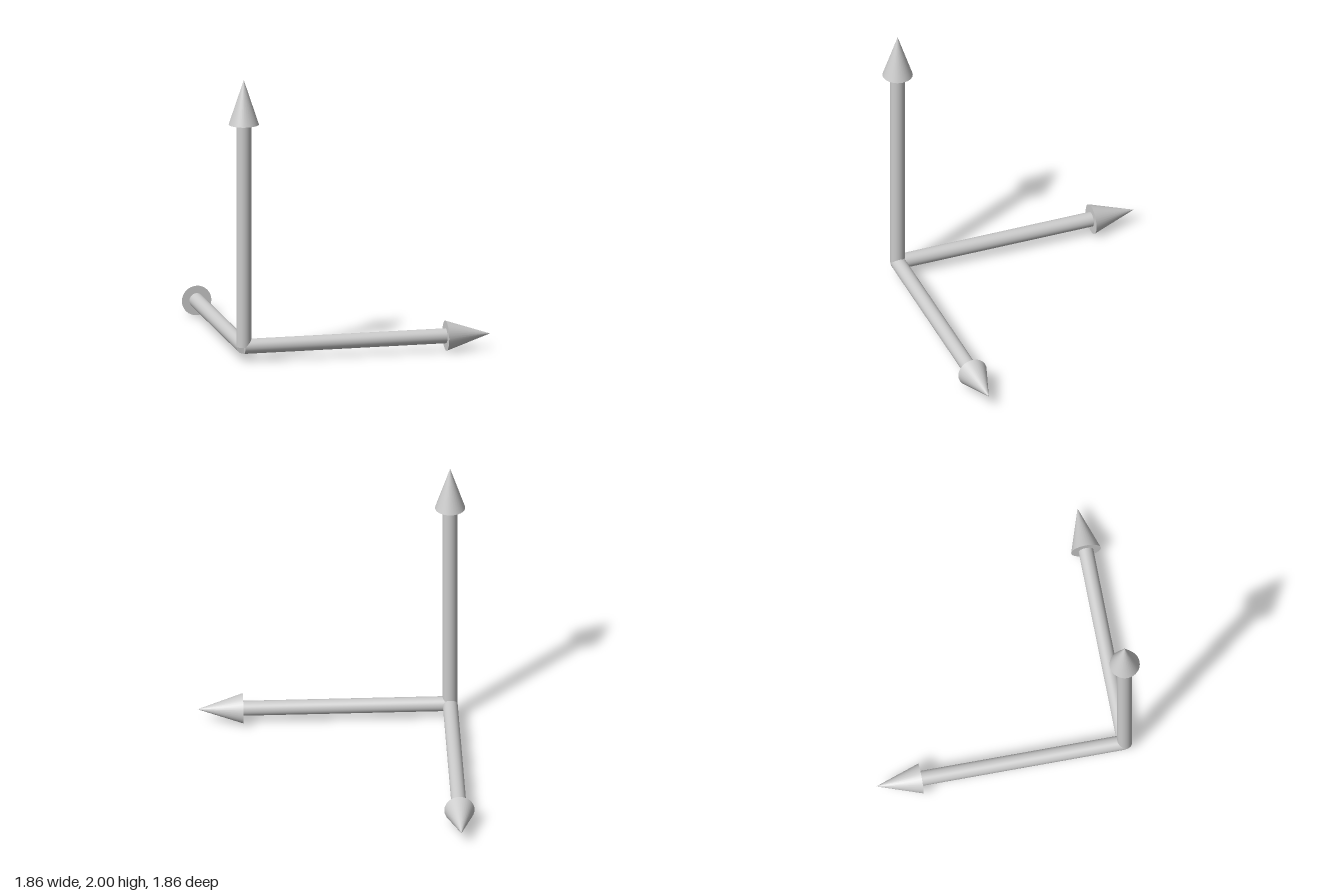
import * as THREE from 'three';

const SIDES = 32;
const SHAFT_RADIUS = 0.052;
const HEAD_RADIUS = 0.105;
const HEAD_LENGTH = 0.315;

// One arrow along +y, starting at its own origin
function makeArrow(name, length, material) {
  const arrow = new THREE.Group();
  arrow.name = name;
  const shaftLength = length - HEAD_LENGTH;

  const shaft = new THREE.Mesh(
    new THREE.CylinderGeometry(SHAFT_RADIUS, SHAFT_RADIUS, shaftLength, SIDES), material);
  shaft.name = name + 'Shaft';
  shaft.position.y = shaftLength / 2;

  const head = new THREE.Mesh(
    new THREE.ConeGeometry(HEAD_RADIUS, HEAD_LENGTH, SIDES), material);
  head.name = name + 'Head';
  head.position.y = shaftLength + HEAD_LENGTH / 2;

  arrow.add(shaft, head);
  return arrow;
}

export function createModel() {
  const model = new THREE.Group();
  model.name = 'axisArrows';
  const material = new THREE.MeshStandardMaterial({ color: 0xcccccc });

  // Three arrows share one corner: up, towards the left (+x), towards the back (-z)
  const up = makeArrow('upArrow', 1.895, material);
  const side = makeArrow('sideArrow', 1.752, material);
  side.rotation.z = -Math.PI / 2;
  const back = makeArrow('backArrow', 1.752, material);
  back.rotation.x = -Math.PI / 2;

  for (const arrow of [up, side, back]) {
    arrow.position.set(-0.824, 0.105, 0.824);
    model.add(arrow);
  }
  return model;
}
